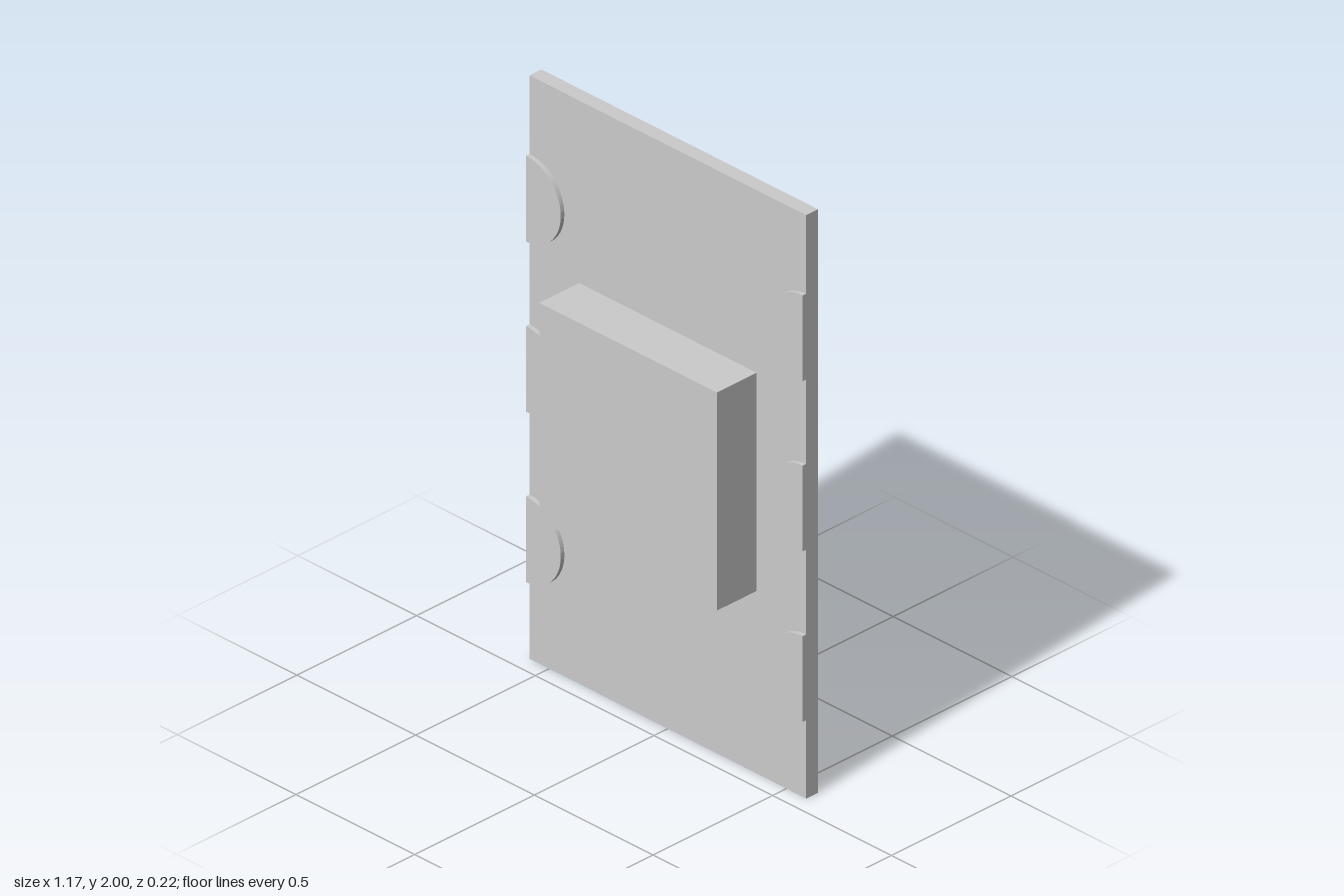
import * as THREE from 'three';
import { toCreasedNormals } from 'three/addons/utils/BufferGeometryUtils.js';

const W = 1.166, H = 2, BACK = -0.108, FACE = -0.058;

export function createModel() {
  const model = new THREE.Group();
  const material = new THREE.MeshStandardMaterial({ color: 0xcccccc });

  const add = (name, geometry, x, y, z) => {
    const mesh = new THREE.Mesh(geometry, material);
    mesh.name = name;
    mesh.position.set(x, y, z);
    model.add(mesh);
    return mesh;
  };

  // Thin upright board
  add('board', new THREE.BoxGeometry(W, H, FACE - BACK), 0, H / 2, (FACE + BACK) / 2);

  // Square block standing out from the middle of the board
  const blockDepth = 0.108 - FACE;
  add('chip', new THREE.BoxGeometry(0.748, 0.748, blockDepth), 0, H / 2, FACE + blockDepth / 2);

  // Half-round contact pads, three along each long edge
  const half = new THREE.Shape();
  half.absarc(0, 0, 0.147, -Math.PI / 2, Math.PI / 2, false);
  half.closePath();
  const padGeometry = toCreasedNormals(
    new THREE.ExtrudeGeometry(half, { depth: 0.015, bevelEnabled: false, curveSegments: 32 }),
    Math.PI / 6
  );
  for (const side of [-1, 1]) {
    for (const row of [-1, 0, 1]) {
      const pad = add(side > 0 ? 'leftPad' : 'rightPad', padGeometry, side * W / 2, H / 2 + row * 0.584, FACE);
      if (side > 0) pad.rotation.z = Math.PI;
    }
  }

  return model;
}
